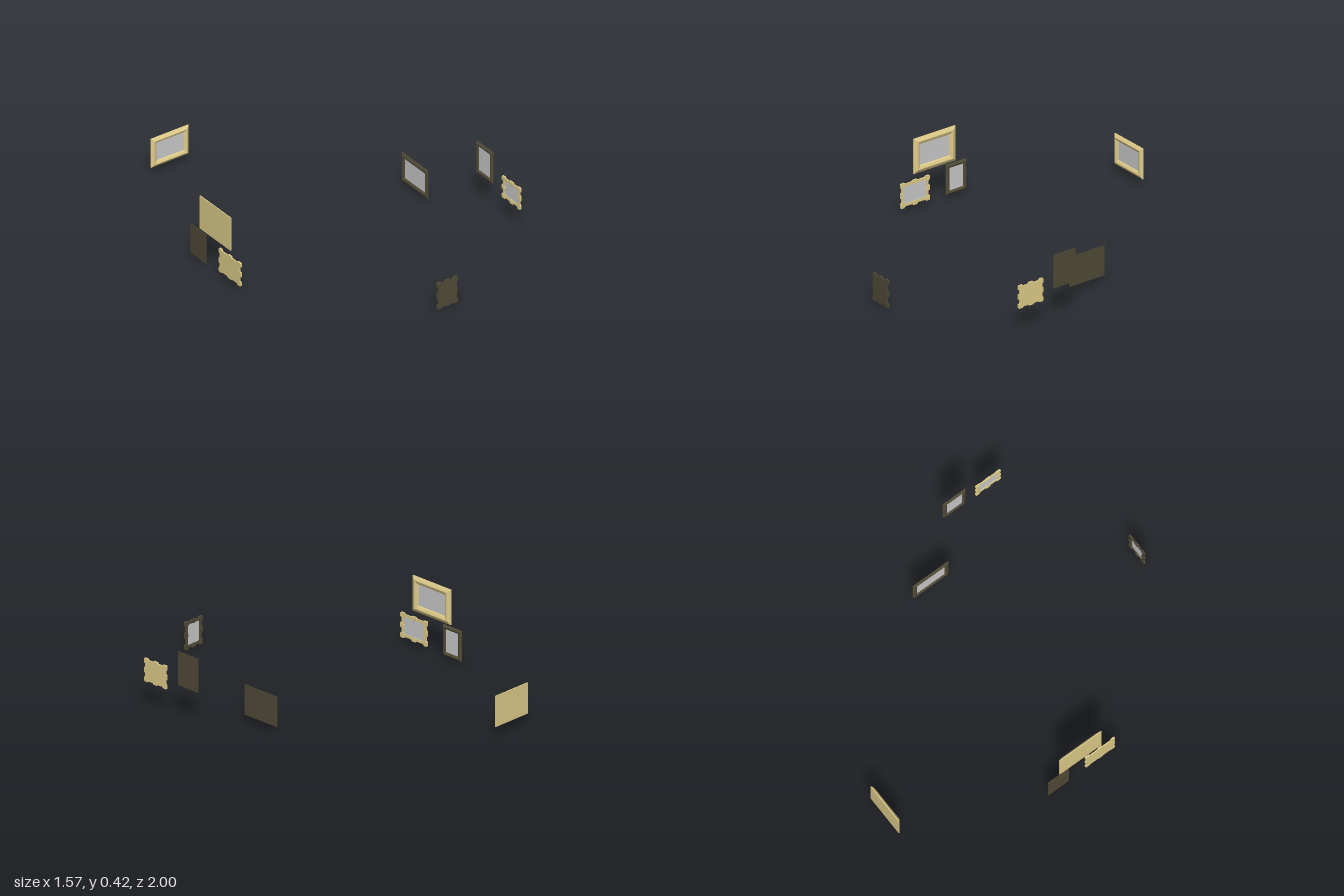
import * as THREE from 'three';

const gold = new THREE.MeshStandardMaterial({ color: 0xe0cd8a, flatShading: true });
const dark = new THREE.MeshStandardMaterial({ color: 0x504a36, flatShading: true });
const grey = new THREE.MeshStandardMaterial({ color: 0xcccccc });

function add(group, name, geometry, material, z = 0) {
  const mesh = new THREE.Mesh(geometry, material);
  mesh.name = name;
  mesh.position.z = z;
  group.add(mesh);
  return mesh;
}

// Mitred moulding: rectangular loops given as [inset, depth], from the back edge to the picture
function moulding(w, h, profile) {
  const loops = profile.map(([inset, z]) => {
    const x = w / 2 - inset, y = h / 2 - inset;
    return [[-x, -y, z], [x, -y, z], [x, y, z], [-x, y, z]];
  });
  const pos = [];
  for (let i = 0; i < loops.length - 1; i++) {
    for (let k = 0; k < 4; k++) {
      const n = (k + 1) % 4;
      const a = loops[i][k], b = loops[i][n], c = loops[i + 1][n], d = loops[i + 1][k];
      pos.push(...a, ...b, ...c, ...a, ...c, ...d);
    }
  }
  const g = new THREE.BufferGeometry();
  g.setAttribute('position', new THREE.Float32BufferAttribute(pos, 3));
  g.computeVertexNormals();
  return g;
}

// Plain rectangular frame with a bevelled edge and sunken picture
function plainFrame(w, h, depth, border, material) {
  const group = new THREE.Group();
  const profile = [[0, 0], [0, depth * 0.35], [border * 0.45, depth],
    [border * 0.55, depth], [border * 0.9, depth * 0.65], [border, depth * 0.3]];
  add(group, 'moulding', moulding(w, h, profile), material);
  add(group, 'backBoard', new THREE.PlaneGeometry(w, h), material).rotation.y = Math.PI;
  add(group, 'picture', new THREE.PlaneGeometry(w - border * 2, h - border * 2), grey, depth * 0.3);
  return group;
}

const polygon = (points) => new THREE.Shape(points.map(([x, y]) => new THREE.Vector2(x, y)));

// Carved frame with raised tabs at the corners and the middle of each side
function carvedFrame(w, h, depth, border, material) {
  const group = new THREE.Group();
  const X = w / 2, Y = h / 2, d = 0.007;
  const extrude = (shape, t) => new THREE.ExtrudeGeometry(shape, { depth: t, bevelEnabled: false });

  // Edge from one corner to the next, as [distance along, inset]
  const edge = (half) => [[-half + 0.004, 0], [-half + 0.026, 0], [-half + 0.033, d],
    [-0.02, d], [-0.014, 0], [0.014, 0], [0.02, d], [half - 0.033, d],
    [half - 0.026, 0], [half - 0.004, 0]];
  const outline = [
    ...edge(X).map(([s, i]) => [s, -Y + i]),
    ...edge(Y).map(([s, i]) => [X - i, s]),
    ...edge(X).map(([s, i]) => [-s, Y - i]),
    ...edge(Y).map(([s, i]) => [-X + i, -s]),
  ];
  const body = polygon(outline);

  // Opening with clipped corners
  const x = X - border, y = Y - border, c = 0.01;
  body.holes.push(polygon([[-x + c, -y], [-x, -y + c], [-x, y - c], [-x + c, y],
    [x - c, y], [x, y - c], [x, -y + c], [x - c, -y]]));
  add(group, 'carvedBorder', extrude(body, depth * 0.7), material);
  add(group, 'backBoard', new THREE.ShapeGeometry(polygon(outline)), material).rotation.y = Math.PI;
  add(group, 'picture', new THREE.PlaneGeometry(w - border * 2, h - border * 2), grey, depth * 0.3);

  // Corner ornaments
  for (const sx of [-1, 1]) for (const sy of [-1, 1]) {
    const points = [[X, Y - 0.004], [X - 0.004, Y], [X - 0.026, Y], [X - 0.022, Y - 0.016],
      [X - 0.016, Y - 0.022], [X, Y - 0.026]].map(([a, b]) => [a * sx, b * sy]);
    add(group, 'cornerOrnament', extrude(polygon(points), depth), material);
  }
  // Middle ornaments
  for (let k = 0; k < 4; k++) {
    const half = k % 2 ? X : Y;
    const points = [[-0.014, half], [-0.012, half - border * 0.6], [0, half - border - 0.005],
      [0.012, half - border * 0.6], [0.014, half]];
    add(group, 'middleOrnament', extrude(polygon(points), depth), material)
      .rotation.z = k * Math.PI / 2;
  }
  return group;
}

export function createModel() {
  const model = new THREE.Group();
  const E = Math.PI / 2;
  // name, builder, width, height, depth, border, material, centre of the back, turn
  const frames = [
    ['backWallGoldFrame', plainFrame, 0.25, 0.182, 0.016, 0.035, gold, [-0.36, 0.148, -1], 0],
    ['leftWallGoldFrame', plainFrame, 0.282, 0.208, 0.016, 0.042, gold, [-0.785, 0.32, 0], E],
    ['leftWallDarkFrame', plainFrame, 0.14, 0.182, 0.012, 0.024, dark, [-0.787, 0.113, -0.15], E],
    ['rightWallSmallDarkFrame', plainFrame, 0.15, 0.198, 0.012, 0.024, dark, [0.775, 0.297, 0.323], -E],
    ['rightWallWideDarkFrame', plainFrame, 0.24, 0.178, 0.012, 0.028, dark, [0.551, 0.128, -0.004], -E],
    ['leftWallCarvedFrame', carvedFrame, 0.198, 0.148, 0.01, 0.022, gold, [-0.786, 0.108, 0.132], E],
    ['rightWallCarvedFrame', carvedFrame, 0.167, 0.138, 0.01, 0.022, gold, [0.785, 0.219, 0.557], -E],
    ['frontWallCarvedFrame', carvedFrame, 0.137, 0.166, 0.011, 0.022, dark, [0.032, 0.083, 1], 2 * E],
  ];
  for (const [name, build, w, h, depth, border, material, position, turn] of frames) {
    const frame = build(w, h, depth, border, material);
    frame.name = name;
    frame.position.set(...position);
    frame.rotation.y = turn;
    model.add(frame);
  }
  return model;
}
